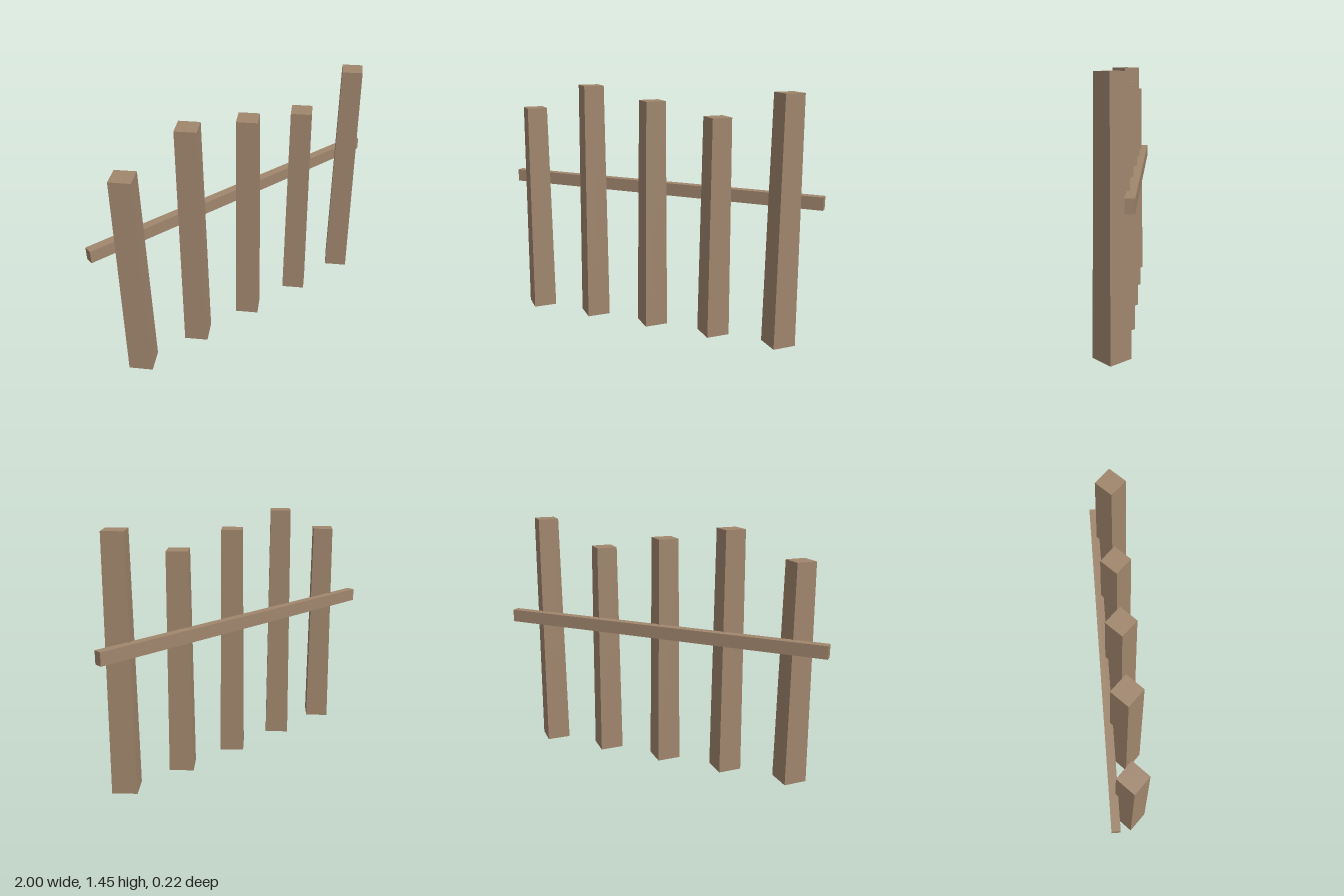
import * as THREE from 'three';

export function createModel() {
  const fence = new THREE.Group();
  fence.name = 'fence';
  const wood = new THREE.MeshStandardMaterial({ color: 0xa0866d });
  wood.name = 'weathered wood';

  // Tapered four-sided posts, set corner-on to the front
  const heights = [1.3, 1.45, 1.375, 1.3, 1.45];
  heights.forEach((height, i) => {
    const geometry = new THREE.CylinderGeometry(0.085, 0.1, height, 4).toNonIndexed();
    geometry.computeVertexNormals(); // flat faces
    const post = new THREE.Mesh(geometry, wood);
    post.name = `post${i + 1}`;
    post.position.set(-0.8 + i * 0.4, height / 2, 0.0125);
    fence.add(post);
  });

  // Single rail across the back of the posts
  const rail = new THREE.Mesh(new THREE.BoxGeometry(2, 0.075, 0.05), wood);
  rail.name = 'rail';
  rail.position.set(0, 0.8375, -0.0875);
  fence.add(rail);

  return fence;
}
